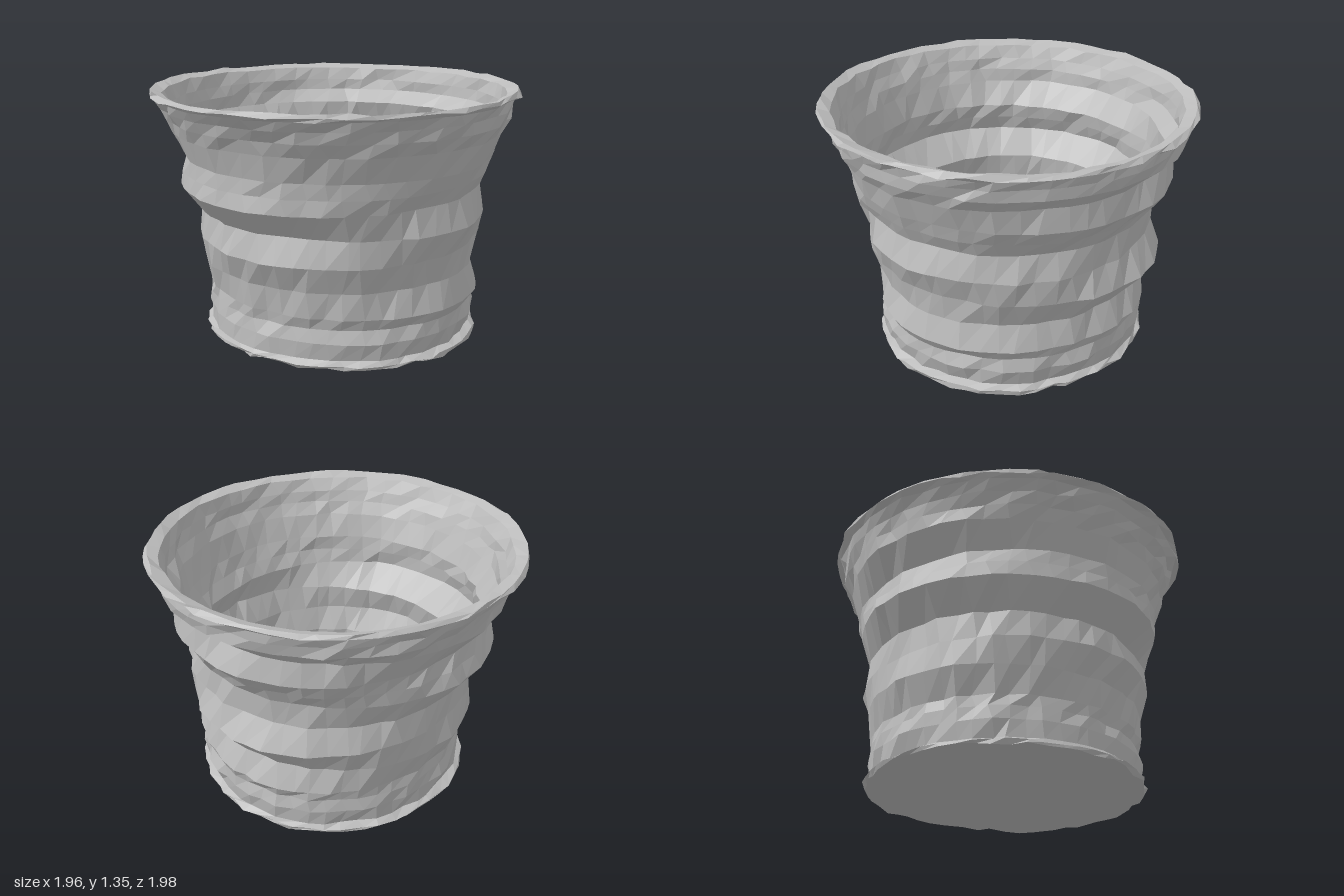
import * as THREE from 'three';

const SEG = 52;

// Repeatable jitter in -1..1 for each ring and segment
function noise(a, b) {
  const s = Math.sin(a * 127.1 + b * 311.7) * 43758.5453;
  return (s - Math.floor(s)) * 2 - 1;
}

// One uneven ring: radius blends between the four sides (+x, -x, +z, -z)
function ring(id, y, [px, nx, pz, nz], rough = 0.012, yRough = 0) {
  const pts = [];
  for (let i = 0; i < SEG; i++) {
    const t = (i / SEG) * Math.PI * 2 + noise(id, i + 50) * 0.03;
    const c = Math.cos(t), s = Math.sin(t);
    const r = (c > 0 ? px : nx) * c * c + (s > 0 ? pz : nz) * s * s + noise(id, i) * rough;
    pts.push(new THREE.Vector3(r * c, y + noise(id, i + 90) * yRough, r * s));
  }
  return pts;
}

// A fan centre: a ring shrunk to one point
const point = (x, y, z) => Array.from({ length: SEG }, () => new THREE.Vector3(x, y, z));

// Skin between successive rings
function loft(name, rings, material) {
  const pos = [];
  const tri = (...v) => v.forEach((p) => pos.push(p.x, p.y, p.z));
  for (let k = 0; k + 1 < rings.length; k++) {
    for (let i = 0; i < SEG; i++) {
      const j = (i + 1) % SEG;
      const a = rings[k][i], b = rings[k][j], c = rings[k + 1][i], d = rings[k + 1][j];
      if (!a.equals(b)) tri(a, c, b);
      if (!c.equals(d)) tri(b, c, d);
    }
  }
  const geo = new THREE.BufferGeometry();
  geo.setAttribute('position', new THREE.Float32BufferAttribute(pos, 3));
  geo.computeVertexNormals();
  const mesh = new THREE.Mesh(geo, material);
  mesh.name = name;
  return mesh;
}

export function createModel() {
  const group = new THREE.Group();
  group.name = 'pot';
  const grey = new THREE.MeshStandardMaterial({ color: 0xbcbcbc });
  grey.name = 'grey';

  // Rippled wall: height, then radius toward +x, -x, +z, -z
  const wall = [
    [0.06, 0.74, 0.69, 0.68, 0.74],
    [0.15, 0.76, 0.71, 0.68, 0.76],
    [0.22, 0.74, 0.70, 0.66, 0.75],
    [0.28, 0.78, 0.69, 0.67, 0.77],
    [0.42, 0.74, 0.75, 0.69, 0.73],
    [0.56, 0.76, 0.73, 0.75, 0.84],
    [0.70, 0.82, 0.73, 0.71, 0.78],
    [0.84, 0.77, 0.84, 0.84, 0.78],
    [0.92, 0.81, 0.81, 0.83, 0.83],
    [1.00, 0.84, 0.79, 0.83, 0.89],
    [1.13, 0.89, 0.89, 0.87, 0.85],
    [1.20, 0.92, 0.90, 0.90, 0.94],
    [1.26, 0.93, 0.92, 0.93, 0.94],
    [1.31, 0.94, 0.95, 0.97, 0.95],
  ];
  const outer = wall.map(([y, ...r], k) => ring(k, y, r, 0.012));

  // Thin foot lip and underside
  const footTop = ring(20, 0.04, [0.775, 0.73, 0.695, 0.77], 0.012, 0.008);
  const footLow = ring(21, 0.02, [0.77, 0.72, 0.69, 0.76], 0.012, 0.013);
  group.add(loft('underside', [point(0.03, 0.03, -0.04), footLow], grey));
  group.add(loft('foot', [footLow, footTop, outer[0]], grey));
  group.add(loft('outerWall', outer, grey));

  // Flared rim with a broad top sloping inward
  const rimLow = ring(22, 1.33, [0.98, 0.98, 0.995, 0.985], 0.01, 0.007);
  const rimTop = ring(23, 1.35, [0.965, 0.965, 0.98, 0.97], 0.01, 0.006);
  const rimIn = ring(24, 1.33, [0.905, 0.905, 0.925, 0.91], 0.01, 0.006);
  group.add(loft('rim', [outer[outer.length - 1], rimLow, rimTop, rimIn], grey));

  // Inner wall follows the ripples at an even thickness
  const inner = wall.slice(3, -1).reverse().map(([y, ...r], k) =>
    ring(30 + k, y, r.map((v) => v - 0.045), 0.012));
  const floorEdge = ring(50, 0.23, [0.57, 0.52, 0.53, 0.59], 0.045, 0.02);
  group.add(loft('innerWall', [rimIn, ...inner, floorEdge], grey));

  // Dished floor
  group.add(loft('floor', [floorEdge, point(0.03, 0.07, -0.05)], grey));
  return group;
}
